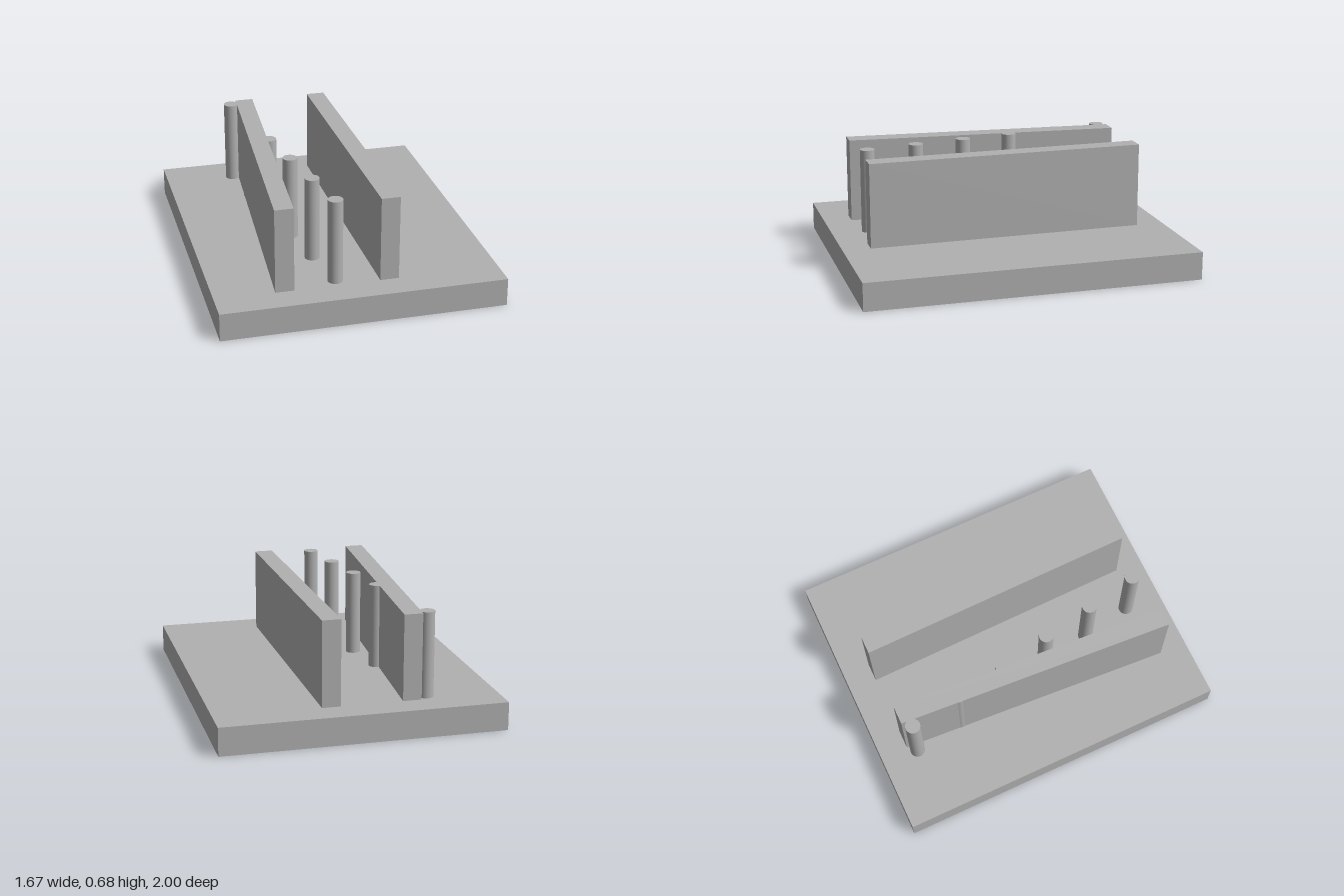
import * as THREE from 'three';

const BASE_TOP = 0.167;
const HEIGHT = 0.508; // height of walls and posts above the base
const WALL_WIDTH = 0.11;
const WALL_END = 0.833;

export function createModel() {
  const model = new THREE.Group();
  model.name = 'baseWithWallsAndPosts';
  const grey = new THREE.MeshStandardMaterial({ color: 0xb0b0b0 });
  grey.name = 'grey';

  const add = (name, geometry, x = 0, y = 0, z = 0) => {
    const mesh = new THREE.Mesh(geometry, grey);
    mesh.name = name;
    mesh.position.set(x, y, z);
    model.add(mesh);
  };

  // Slanted wall, given the x of its right-hand edge at the back and front ends
  const wall = (name, backX, frontX) => {
    const plan = new THREE.Shape([
      new THREE.Vector2(frontX, -WALL_END),
      new THREE.Vector2(frontX + WALL_WIDTH, -WALL_END),
      new THREE.Vector2(backX + WALL_WIDTH, WALL_END),
      new THREE.Vector2(backX, WALL_END),
    ]);
    const geometry = new THREE.ExtrudeGeometry(plan, { depth: HEIGHT, bevelEnabled: false });
    geometry.rotateX(-Math.PI / 2);
    add(name, geometry, 0, BASE_TOP, 0);
  };

  // Base slab
  add('base', new THREE.BoxGeometry(1.667, BASE_TOP, 2), 0, BASE_TOP / 2, 0);

  // Two walls that converge towards the back
  wall('rightWall', -0.37, -0.484);
  wall('leftWall', 0.103, 0.126);

  // Diagonal row of round posts, crossing through the right wall
  const postGeometry = new THREE.CylinderGeometry(0.044, 0.044, HEIGHT, 40);
  for (let i = 0; i < 6; i++) {
    add(`post${i + 1}`, postGeometry, -0.411 + 0.0576 * i, BASE_TOP + HEIGHT / 2, -0.78 + 0.3105 * i);
  }
  return model;
}
